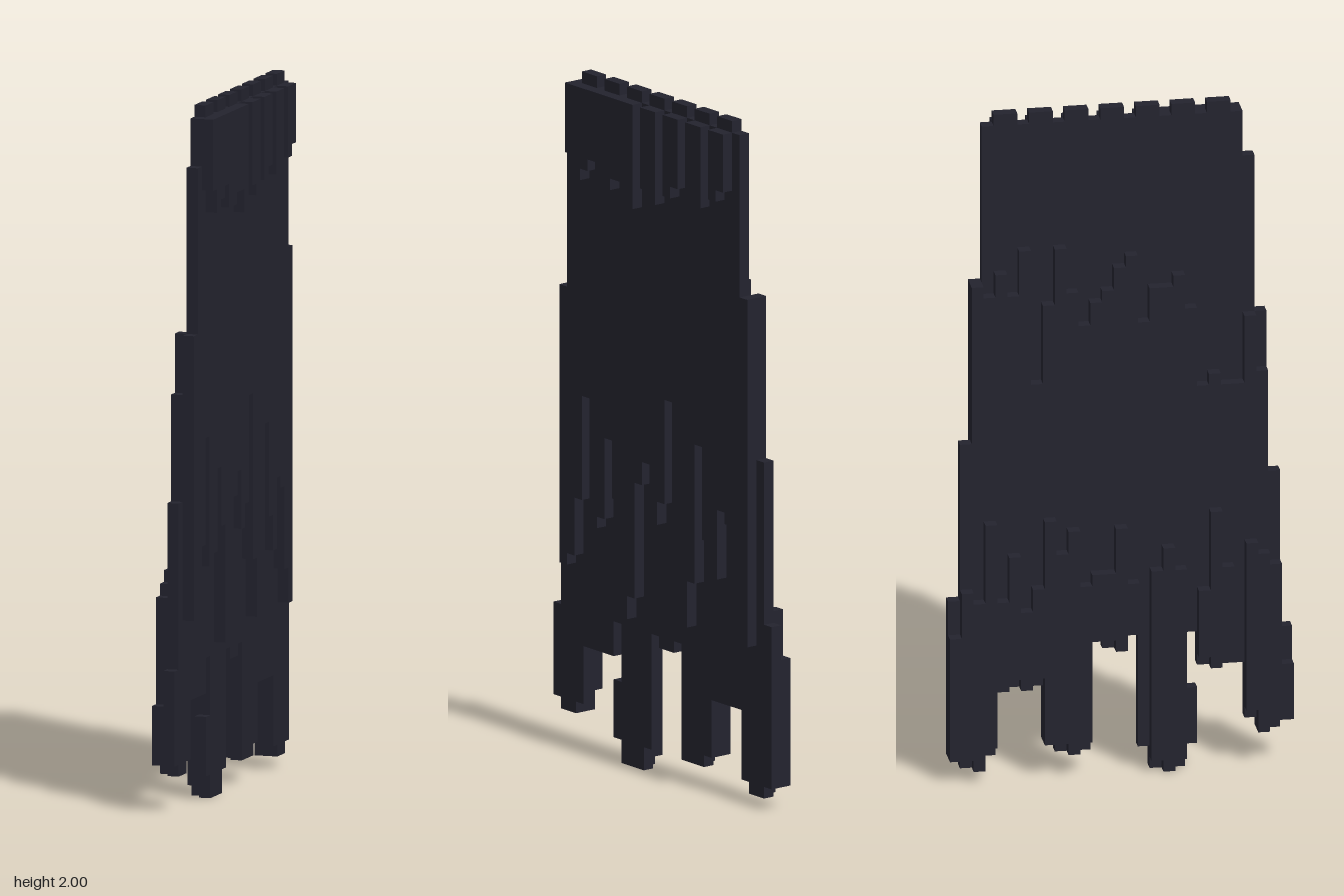
import * as THREE from 'three';

const U = 2 / 59;      // one block
const COLUMNS = 29;    // blocks across the widest row

// Lower tatters as [columns, bottom row], across the whole width
const tatters = [[1, 4], [2, 3], [1, 4], [4, 9], [1, 12], [3, 0], [1, 2], [1, 12], [2, 11],
  [1, 12], [3, 2], [1, 3], [4, 8], [1, 2], [2, 1], [1, 2]];
const hemRow = tatters.flatMap(([count, row]) => new Array(count).fill(row));

// Ragged lower edge of the upper cloth
const raggedRow = [16, 17, 22, 31, 20, 21, 28, 23, 13, 15, 25, 27, 22,
  24, 33, 19, 14, 18, 30, 22, 19, 25, 24, 17, 14];

// Repeatable uneven row between min and max
function uneven(i, min, max) {
  const s = Math.sin(i * 12.99 + max * 7.3) * 437.58;
  return min + Math.floor((s - Math.floor(s)) * (max - min + 1));
}

// The sides narrow by one column every fourteen rows
const taper = (i) => Math.min(12 + 14 * i, 16 + 14 * (COLUMNS - 1 - i));

// Each layer is one block thick; span gives [bottom, top] of a column, or null for a gap
const layers = [
  {
    name: 'collarTrim', x: 1, first: 4, last: 24,
    span: (i) => (i > 12 && i % 3 === 1 ? null : [uneven(i, 49, 53), 58]),
  },
  {
    name: 'upperCloth', x: 0, first: 2, last: 26,
    span: (i) => [raggedRow[i - 2], Math.min(taper(i), i % 3 === 1 ? 58 : 59)],
  },
  {
    name: 'lowerCloth', x: -1, first: 0, last: 28,
    span: (i) => [hemRow[i], Math.min(taper(i), uneven(i, 34, 47))],
  },
  {
    name: 'tatteredHem', x: -2, first: 0, last: 28,
    span: (i) => (i > 0 && i < 13 && i % 4 === 0 ? null
      : [hemRow[i] + (i % 2), Math.min(taper(i) - 3, uneven(i, 14, 24))]),
  },
];

// Stepped outline around a run of neighbouring columns, extruded by one block
function runGeometry(start, spans, x) {
  const points = [];
  const add = (i, row) => {
    const p = new THREE.Vector2((start + i - COLUMNS / 2) * U, row * U);
    if (!points.length || !points[points.length - 1].equals(p)) points.push(p);
  };
  spans.forEach(([bottom], i) => {
    add(i, bottom);
    add(i + 1, bottom);
  });
  for (let i = spans.length - 1; i >= 0; i--) {
    add(i + 1, spans[i][1]);
    add(i, spans[i][1]);
  }
  const geometry = new THREE.ExtrudeGeometry(new THREE.Shape(points), { depth: U, bevelEnabled: false });
  return geometry.rotateY(Math.PI / 2).translate(x * U, 0, 0);
}

export function createModel() {
  const model = new THREE.Group();
  model.name = 'tatteredCape';
  const cloth = new THREE.MeshStandardMaterial({ color: 0x23232e });
  cloth.name = 'dark cloth';

  const addPanel = (parent, name, start, spans, x) => {
    const mesh = new THREE.Mesh(runGeometry(start, spans, x), cloth);
    mesh.name = name;
    parent.add(mesh);
  };

  for (const { name, x, first, last, span } of layers) {
    const layer = new THREE.Group();
    layer.name = name;
    // Split the layer into panels at its gaps
    let spans = [];
    for (let i = first; i <= last + 1; i++) {
      const column = i <= last ? span(i) : null;
      if (column) {
        spans.push(column);
      } else {
        addPanel(layer, name + 'Panel', i - spans.length, spans, x);
        spans = [];
      }
    }
    model.add(layer);
  }

  // Loose strand beside the longest tatter
  addPanel(model, 'looseStrand', 8, [[2, 7]], -1);
  return model;
}
